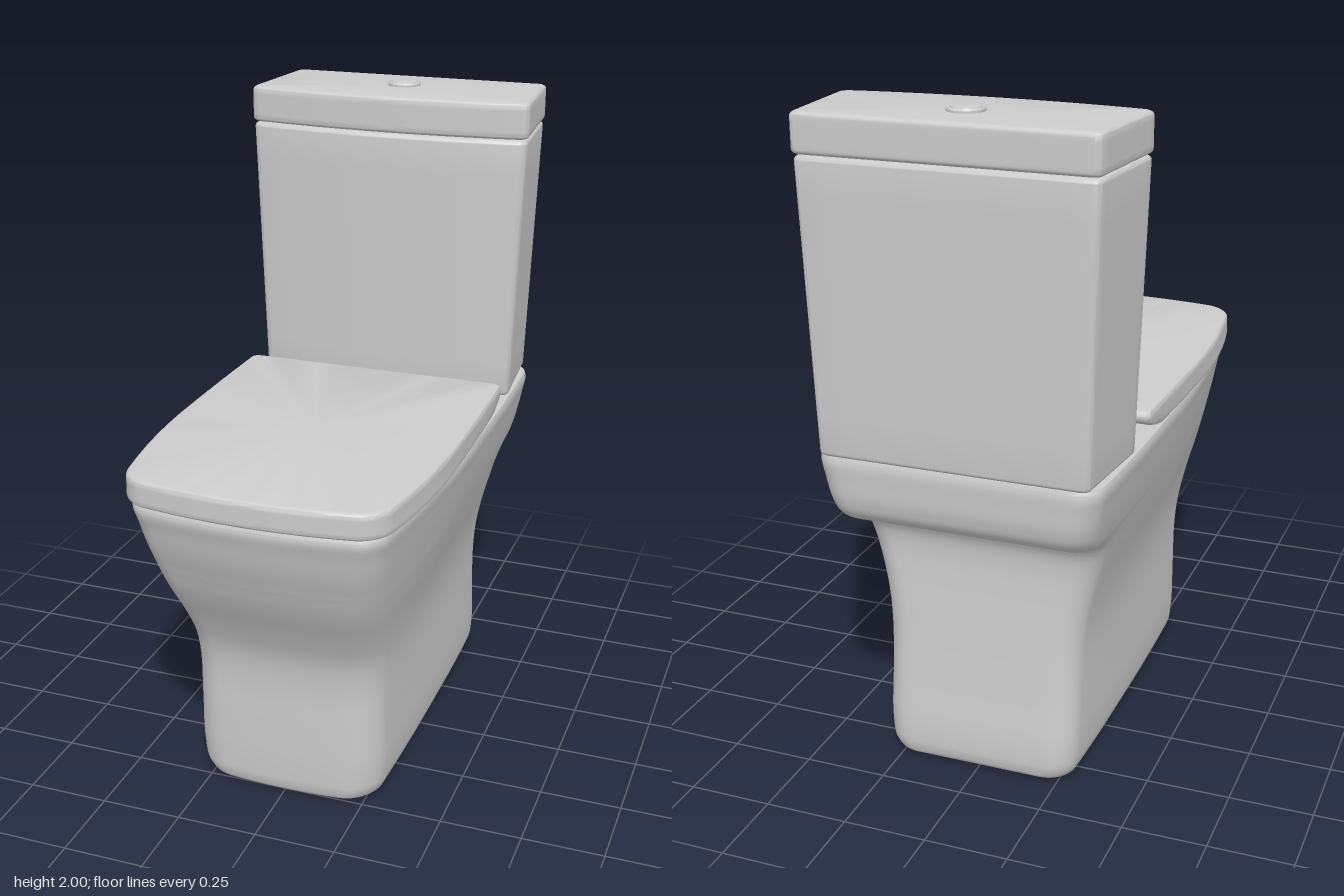
import * as THREE from 'three';
import { toCreasedNormals } from 'three/addons/utils/BufferGeometryUtils.js';

const material = new THREE.MeshStandardMaterial({ color: 0xcccccc, roughness: 0.5 });
const clamp = THREE.MathUtils.clamp;

// Rounded-rectangle ring at height y: bowed front, width scaled along its depth by narrow(t), t = 0 back, 1 front
function outline({ y, w, zf, zb, rf, rb, bow, narrow }) {
  const corners = [[1, zf - rf, rf, 0], [1, zb + rb, rb, 1], [-1, zb + rb, rb, 2], [-1, zf - rf, rf, 3]];
  const raw = [];
  for (const [sx, cz, r, q] of corners) {
    for (let i = 0; i <= 8; i++) {
      const a = Math.PI / 2 * (1 - q - i / 8);
      raw.push([sx * (w - r) + r * Math.cos(a), cz + r * Math.sin(a)]);
    }
  }
  const ring = [];
  raw.forEach(([x, z], i) => {
    const [nx, nz] = raw[(i + 1) % raw.length];
    const steps = i % 9 === 8 ? 12 : 1; // subdivide the straight runs
    for (let s = 0; s < steps; s++) {
      const px = x + (nx - x) * s / steps, pz = z + (nz - z) * s / steps;
      const t = (pz - zb) / (zf - zb);
      ring.push([px * narrow(t), y, pz - bow * (px / w) ** 2 * t]);
    }
  });
  return ring;
}

// Skin a stack of rings from bottom to top and close both ends
function loft(name, rings) {
  const n = rings[0].length, pos = rings.flat(2), index = [];
  for (let i = 0; i < rings.length - 1; i++) {
    for (let j = 0; j < n; j++) {
      const a = i * n + j, b = i * n + (j + 1) % n;
      index.push(a, b, b + n, a, b + n, a + n);
    }
  }
  for (const row of [0, rings.length - 1]) {
    const zs = rings[row].map((p) => p[2]);
    const centre = pos.length / 3;
    pos.push(0, rings[row][0][1], (Math.min(...zs) + Math.max(...zs)) / 2);
    for (let j = 0; j < n; j++) {
      const a = row * n + j, b = row * n + (j + 1) % n;
      if (row) index.push(centre, a, b);
      else index.push(centre, b, a);
    }
  }
  const geometry = new THREE.BufferGeometry();
  geometry.setAttribute('position', new THREE.Float32BufferAttribute(pos, 3));
  geometry.setIndex(index);
  const mesh = new THREE.Mesh(toCreasedNormals(geometry, 0.75), material);
  mesh.name = name;
  return mesh;
}

// Slab from y0 to y1 with edges rounded by r; section(y) describes its outline
function slab(name, y0, y1, r, section) {
  const levels = [];
  for (let i = 0; i <= 5; i++) {
    const a = Math.PI / 2 * i / 5;
    levels.push([y0 + r * (1 - Math.cos(a)), r * (1 - Math.sin(a))]);
  }
  for (let i = 1; i < 8; i++) levels.push([y0 + r + (y1 - y0 - 2 * r) * i / 8, 0]);
  for (let i = 0; i <= 5; i++) {
    const a = Math.PI / 2 * i / 5;
    levels.push([y1 - r * (1 - Math.sin(a)), r * (1 - Math.cos(a))]);
  }
  return loft(name, levels.map(([y, inset]) => {
    const s = section(y);
    return outline({ ...s, y, w: s.w - inset, zf: s.zf - inset, zb: s.zb + inset });
  }));
}

// Pedestal and bowl: height, half width, front z, back z
function makeBowl() {
  const rows = [
    [0, 0.255, 0.49, -0.58], [0.008, 0.278, 0.512, -0.605], [0.03, 0.296, 0.526, -0.62],
    [0.08, 0.306, 0.532, -0.625], [0.25, 0.309, 0.535, -0.61], [0.4, 0.311, 0.537, -0.597],
    [0.5, 0.32, 0.555, -0.59], [0.6, 0.34, 0.602, -0.583], [0.7, 0.367, 0.66, -0.582],
    [0.75, 0.38, 0.686, -0.595], [0.78, 0.388, 0.699, -0.62], [0.8, 0.393, 0.708, -0.66],
    [0.815, 0.397, 0.714, -0.71], [0.84, 0.403, 0.725, -0.742], [0.88, 0.412, 0.741, -0.76],
    [0.95, 0.426, 0.763, -0.768], [1.005, 0.435, 0.779, -0.77], [1.02, 0.431, 0.775, -0.766],
  ];
  const curve = new THREE.CubicInterpolant(rows.map((r) => r[0]), rows.flatMap((r) => r.slice(1)), 3, new Float32Array(3));
  const rings = [];
  rows.forEach(([y0], i) => {
    const steps = i < rows.length - 1 ? 4 : 1;
    for (let s = 0; s < steps; s++) {
      const y = steps > 1 ? y0 + (rows[i + 1][0] - y0) * s / steps : y0;
      const [w, zf, zb] = curve.evaluate(y);
      const k = THREE.MathUtils.smoothstep(y, 0.3, 1);
      rings.push(outline({
        y, w, zf, zb, rf: 0.1 - 0.03 * k, rb: 0.08, bow: 0.02 + 0.02 * k,
        narrow: (t) => 1 - (0.04 + 0.1 * k) * Math.max(0, 2 * t - 1) ** 2 - 0.03 * Math.max(0, 1 - 3 * t) ** 2,
      }));
    }
  });
  return loft('bowl', rings);
}

export function createModel() {
  const model = new THREE.Group();
  model.name = 'toilet';
  model.add(makeBowl());

  // Seat cover with an undercut rear edge
  model.add(slab('seatCover', 1.022, 1.105, 0.014, (y) => ({
    w: 0.441, zf: 0.79, zb: -0.335 + 0.15 * (1 - clamp((y - 1.022) / 0.06, 0, 1)) ** 2,
    rf: 0.075, rb: 0.02, bow: 0.04,
    narrow: (t) => 1 - 0.13 * Math.max(0, 2 * t - 1) ** 2 - 0.02 * Math.max(0, 1 - 2 * t) ** 2,
  })));

  // Cistern widens upwards and narrows towards the wall
  const cisternNarrow = (t) => 0.935 + 0.065 * t;
  model.add(slab('cistern', 1.02, 1.87, 0.014, (y) => {
    const k = (y - 1.02) / 0.85;
    return {
      w: 0.427 + 0.03 * k, zf: -0.402 + 0.01 * k, zb: -0.772 - 0.013 * k,
      rf: 0.025, rb: 0.02, bow: 0.035, narrow: cisternNarrow,
    };
  }));
  model.add(slab('cisternLid', 1.873, 1.987, 0.014, () => ({
    w: 0.461, zf: -0.39, zb: -0.79, rf: 0.025, rb: 0.02, bow: 0.035, narrow: cisternNarrow,
  })));

  // Flush button: collar and raised centre
  const profile = [[0.053, 1.98], [0.053, 1.993], [0.049, 1.998], [0.043, 1.998], [0.042, 1.994], [0.04, 1.999], [0.036, 2], [0, 2]];
  const button = new THREE.Mesh(
    toCreasedNormals(new THREE.LatheGeometry(profile.map(([x, y]) => new THREE.Vector2(x, y)), 40), 0.6), material);
  button.name = 'flushButton';
  button.position.z = -0.615;
  model.add(button);
  return model;
}
